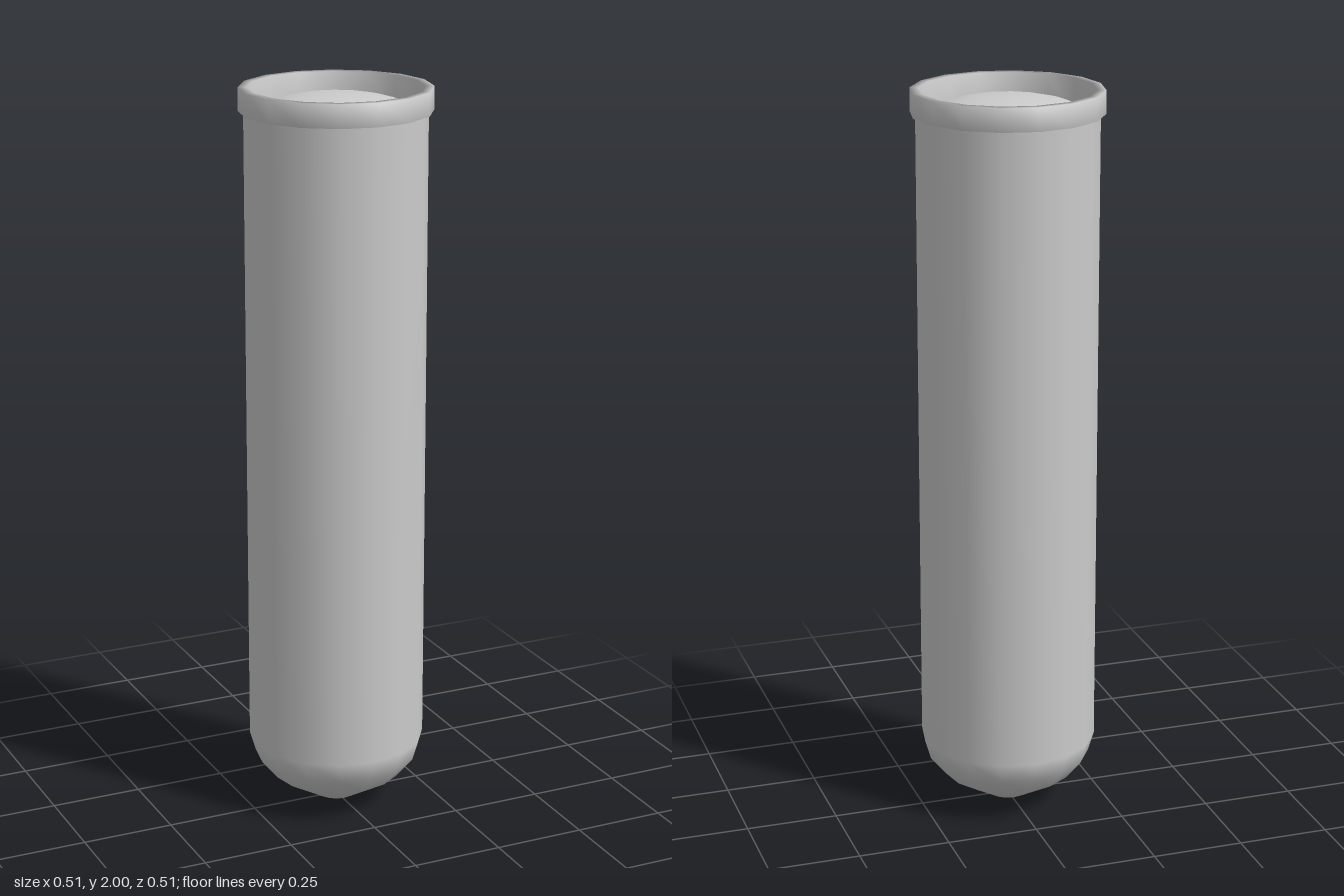
import * as THREE from 'three';

const SIDES = 16;

// Smooth part turned around the y axis from [radius, height] points
function turned(name, points) {
  const profile = points.map(([r, y]) => new THREE.Vector2(r, y));
  const mesh = new THREE.Mesh(
    new THREE.LatheGeometry(profile, SIDES),
    new THREE.MeshStandardMaterial({ color: 0xcccccc })
  );
  mesh.name = name;
  return mesh;
}

export function createModel() {
  const group = new THREE.Group();
  group.name = 'testTube';

  // Long tube wall with a rounded, slightly pointed bottom
  group.add(turned('tubeBody', [
    [0, 0], [0.055, 0.005], [0.18, 0.08], [0.225, 0.135], [0.241, 0.19], [0.241, 1.95],
  ]));

  // Lip around the mouth, its inner face reaching down to the contents
  group.add(turned('rim', [
    [0.24, 1.938], [0.255, 1.938], [0.255, 2], [0.232, 2], [0.232, 1.9],
  ]));

  // Domed surface of the contents just below the mouth
  const dome = [];
  const base = 1.91, radius = 0.234, height = 0.07, steps = 8;
  for (let i = 0; i <= steps; i++) {
    const a = (i / steps) * Math.PI / 2;
    dome.push([i === steps ? 0 : radius * Math.cos(a), base + height * Math.sin(a)]);
  }
  group.add(turned('contentsDome', dome));

  return group;
}
